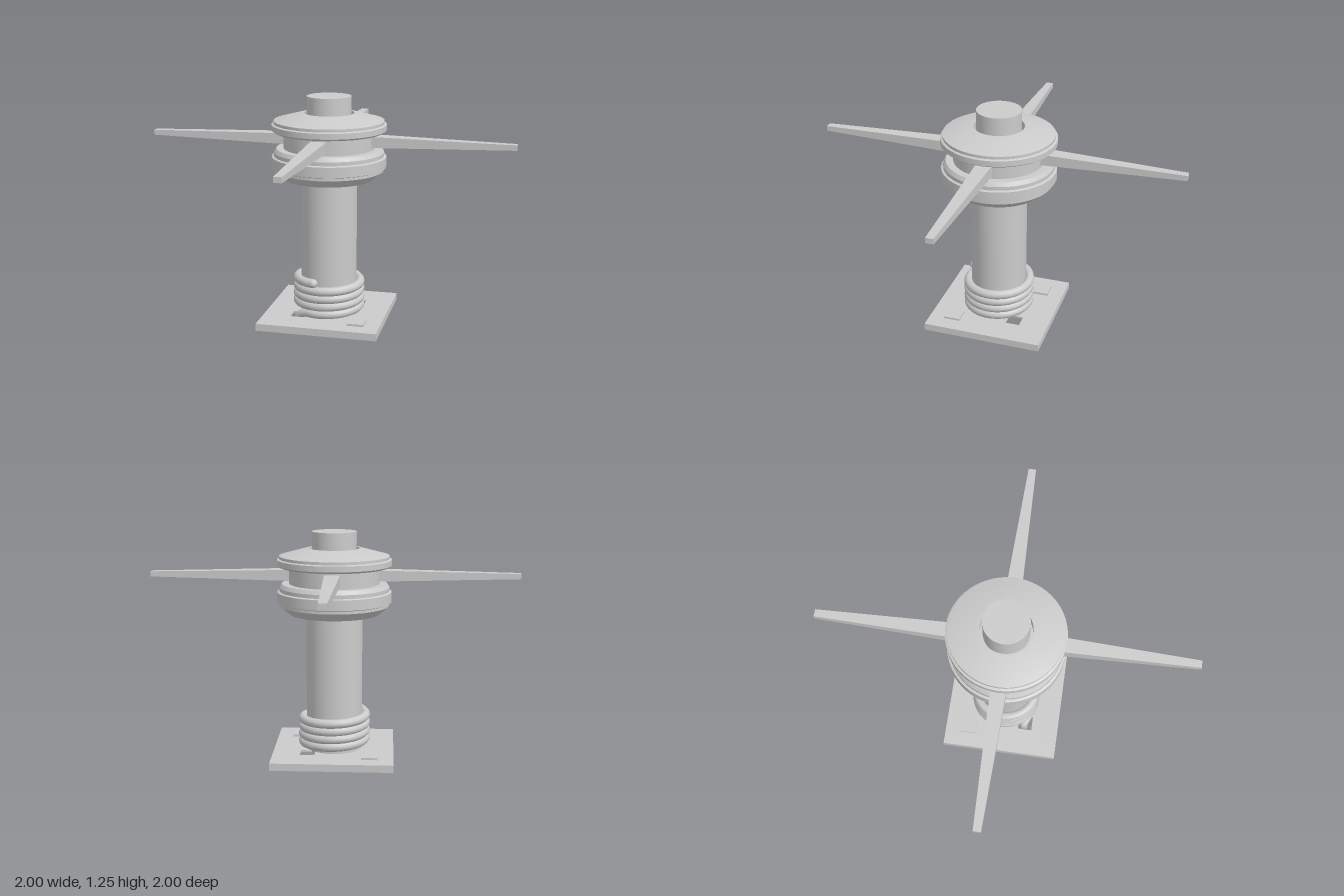
import * as THREE from 'three';
import { toCreasedNormals } from 'three/addons/utils/BufferGeometryUtils.js';

const mat = new THREE.MeshStandardMaterial({ color: 0xcccccc, side: THREE.DoubleSide });

function add(parent, name, geometry, x = 0, y = 0, z = 0) {
  const mesh = new THREE.Mesh(geometry, mat);
  mesh.name = name;
  mesh.position.set(x, y, z);
  parent.add(mesh);
  return mesh;
}

function lathe(points) {
  const profile = points.map(([r, y]) => new THREE.Vector2(r, y));
  return toCreasedNormals(new THREE.LatheGeometry(profile, 64), 0.3);
}

function squarePath(half, x = 0, y = 0, Type = THREE.Path) {
  return new Type([[-1, -1], [1, -1], [1, 1], [-1, 1]]
    .map(([a, b]) => new THREE.Vector2(x + a * half, y + b * half)));
}

// flat plate in the xz plane, its top at the given height
function plate(shape, top, depth) {
  return new THREE.ExtrudeGeometry(shape, { depth, bevelEnabled: false })
    .rotateX(Math.PI / 2).translate(0, top, 0);
}

export function createModel() {
  const model = new THREE.Group();
  model.name = 'capstan';

  // base: deck with two rope openings, hollow underneath with a thin rim
  const base = new THREE.Group();
  base.name = 'base';
  model.add(base);
  const deck = squarePath(0.33, 0, 0, THREE.Shape);
  deck.holes.push(squarePath(0.04, -0.14, 0.135), squarePath(0.04, 0.14, -0.135));
  add(base, 'deck', plate(deck, 0.055, 0.01));
  const rim = squarePath(0.33, 0, 0, THREE.Shape);
  rim.holes.push(squarePath(0.318));
  add(base, 'rim', plate(rim, 0.045, 0.03));
  for (const s of [-1, 1]) {
    add(base, 'hatch', new THREE.BoxGeometry(0.09, 0.012, 0.09), s * 0.2, 0.06, s * 0.2);
  }

  // column
  add(model, 'column', lathe([[0, 0.045], [0.153, 0.045], [0.153, 0.82]]));

  // drum head: lower flange, waist and domed upper flange
  add(model, 'drumHead', lathe([
    [0.15, 0.81], [0.245, 0.81], [0.297, 0.855], [0.297, 0.87], [0.31, 0.875],
    [0.31, 0.93], [0.298, 0.935], [0.298, 0.955], [0.285, 0.975], [0.245, 0.975],
    [0.245, 1.065], [0.295, 1.065], [0.31, 1.075], [0.31, 1.105], [0.298, 1.11],
    [0.298, 1.125], [0.15, 1.165], [0.135, 1.165], [0.135, 1.11], [0, 1.11],
  ]));

  // centre post
  add(model, 'post', lathe([[0.12, 1.1], [0.12, 1.255], [0, 1.255]]));

  // four tapered push bars
  for (let i = 0; i < 4; i++) {
    const bar = new THREE.BoxGeometry(0.78, 1, 1);
    const p = bar.attributes.position;
    for (let k = 0; k < p.count; k++) {
      const outer = p.getX(k) > 0;
      p.setY(k, p.getY(k) * (outer ? 0.028 : 0.06));
      p.setZ(k, p.getZ(k) * (outer ? 0.04 : 0.085));
    }
    bar.translate(0.61, 0, 0);
    bar.computeVertexNormals();
    add(model, 'pushBar', bar, 0, 1.02, 0).rotation.y = i * Math.PI / 2;
  }

  // rope: drops through the deck, then winds up around the column
  const points = [new THREE.Vector3(-0.14, 0.004, 0.125), new THREE.Vector3(-0.14, 0.045, 0.125)];
  const start = -0.5, end = 8 * Math.PI - 0.3, steps = 110;
  for (let i = 0; i <= steps; i++) {
    const t = i / steps, a = start + (end - start) * t;
    points.push(new THREE.Vector3(0.173 * Math.sin(a), 0.075 + 0.175 * t, 0.173 * Math.cos(a)));
  }
  const curve = new THREE.CatmullRomCurve3(points);
  const rope = new THREE.Group();
  rope.name = 'rope';
  model.add(rope);
  add(rope, 'coil', new THREE.TubeGeometry(curve, 400, 0.025, 12));
  const tip = points[points.length - 1];
  add(rope, 'ropeTip', new THREE.SphereGeometry(0.025, 16, 12), tip.x, tip.y, tip.z);
  add(rope, 'ropeLowerEnd', new THREE.CircleGeometry(0.025, 16).rotateX(Math.PI / 2), -0.14, 0.004, 0.125);

  return model;
}
